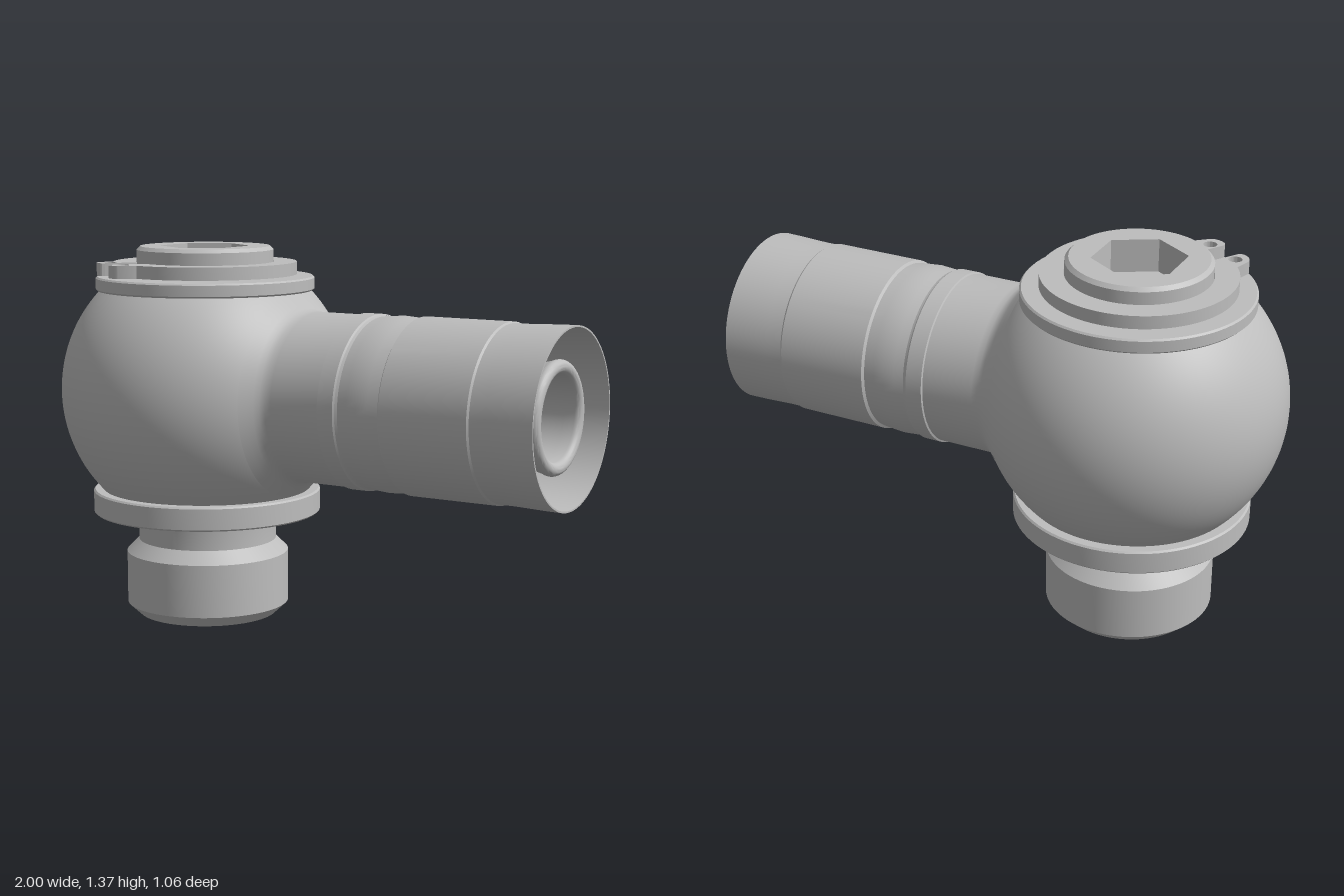
import * as THREE from 'three';
import { toCreasedNormals } from 'three/addons/utils/BufferGeometryUtils.js';

const AXIS_X = -0.47; // vertical bolt axis
const AXIS_Y = 0.84;  // horizontal pipe axis

export function createModel() {
  const group = new THREE.Group();
  const steel = new THREE.MeshStandardMaterial({ color: 0xbdbdbd });
  steel.name = 'grey steel';

  const add = (name, geometry) => {
    const mesh = new THREE.Mesh(geometry, steel);
    mesh.name = name;
    group.add(mesh);
    return mesh;
  };
  // Revolved profile of [radius, height] pairs with crisp machined edges
  const turn = (profile, crease = 0.35) => toCreasedNormals(
    new THREE.LatheGeometry(profile.map(([r, h]) => new THREE.Vector2(r, h)), 80), crease);
  const upright = (name, profile) => { add(name, turn(profile)).position.x = AXIS_X; };
  // Arc points for rounded profiles
  const arc = (cr, ch, rad, from, to, n) => Array.from({ length: n + 1 }, (_, i) => {
    const a = from + (to - from) * i / n;
    return [cr + rad * Math.cos(a), ch + rad * Math.sin(a)];
  });
  const ring = (r, inner, y0, y1) => {
    const b = 0.006;
    return [[inner, y0], [r - b, y0], [r, y0 + b], [r, y1 - b], [r - b, y1], [inner, y1]];
  };

  // Ball housing, cut flat above and below
  const cut = Math.asin(0.368 / 0.53);
  upright('ballHousing', arc(0, AXIS_Y, 0.53, -cut, cut, 40));

  // Sealing washers
  upright('lowerWasher', ring(0.42, 0.2, 0.385, 0.472));
  upright('upperWasher', ring(0.40, 0.2, 1.205, 1.256));

  // Hollow bolt: bore, bottom chamfer, thread, relief neck
  upright('boltThread', [
    [0, 0.75], [0.22, 0.7], [0.22, 0.02], [0.235, 0], [0.255, 0], [0.30, 0.042],
    [0.30, 0.235], [0.255, 0.28], [0.255, 0.35],
    ...arc(0.29, 0.35, 0.035, Math.PI, Math.PI / 2, 6),
  ]);
  upright('boltHead', [[0.25, 1.2], [0.25, 1.352], [0.237, 1.365]]);

  // Top of the head with a hexagonal socket
  const cap = new THREE.Shape().absarc(0, 0, 0.237, 0, Math.PI * 2, false);
  const hexPoints = Array.from({ length: 6 }, (_, i) => {
    const a = (i * 60 + 31.5) * Math.PI / 180;
    return new THREE.Vector2(0.164 * Math.cos(a), 0.164 * Math.sin(a));
  });
  cap.holes.push(new THREE.Path(hexPoints));
  const capGeometry = new THREE.ExtrudeGeometry(cap, { depth: 0.12, bevelEnabled: false, curveSegments: 40 });
  capGeometry.rotateX(Math.PI / 2);
  add('hexSocket', capGeometry).position.set(AXIS_X, 1.365, 0);
  const floor = new THREE.CircleGeometry(0.2, 32).rotateX(-Math.PI / 2);
  add('socketFloor', floor).position.set(AXIS_X, 1.246, 0);

  // Retaining ring with a gap and two drilled lugs
  const clip = new THREE.Shape();
  const outer = Math.atan2(0.128, 0.31);
  const inner = Math.asin(0.042 / 0.252);
  clip.moveTo(0.249, 0.042);
  clip.lineTo(0.37, 0.042);
  clip.quadraticCurveTo(0.39, 0.045, 0.39, 0.065);
  clip.quadraticCurveTo(0.39, 0.1, 0.365, 0.112);
  clip.lineTo(0.31, 0.128);
  clip.absarc(0, 0, 0.335, outer, Math.PI * 2 - outer, false);
  clip.lineTo(0.365, -0.112);
  clip.quadraticCurveTo(0.39, -0.1, 0.39, -0.065);
  clip.quadraticCurveTo(0.39, -0.045, 0.37, -0.042);
  clip.lineTo(0.249, -0.042);
  clip.absarc(0, 0, 0.252, -inner, inner - Math.PI * 2, true);
  for (const side of [-1, 1]) {
    clip.holes.push(new THREE.Path().absarc(0.34, side * 0.073, 0.024, 0, Math.PI * 2, true));
  }
  const clipGeometry = new THREE.ExtrudeGeometry(clip, { depth: 0.046, bevelEnabled: false, curveSegments: 48 });
  clipGeometry.rotateZ(124 * Math.PI / 180).rotateX(Math.PI / 2);
  add('retainingRing', toCreasedNormals(clipGeometry, 0.35)).position.set(AXIS_X, 1.308, 0);

  // Side pipe parts are revolved about the horizontal axis
  const sideways = (name, profile, crease) => {
    add(name, turn(profile, crease).rotateZ(-Math.PI / 2)).position.y = AXIS_Y;
  };
  sideways('pipeStub', [
    [0.365, -0.085], [0.345, -0.064], [0.328, -0.046], [0.315, -0.03], [0.307, -0.012], [0.305, 0.01],
    [0.305, 0.197], [0.311, 0.2], [0.311, 0.26], [0.307, 0.266],
  ], 0.5);
  sideways('hoseSleeve', [
    [0.307, 0.264], [0.303, 0.275], [0.306, 0.31], [0.309, 0.35], [0.306, 0.39], [0.302, 0.43],
    [0.311, 0.437], [0.311, 0.765], [0.306, 0.772], [0.306, 0.83], [0.310, 0.94], [0.311, 1.0],
    [0.305, 1.0], [0.300, 0.9], [0.295, 0.78], [0.28, 0.77], [0.28, 0.6], [0.17, 0.6],
  ]);
  // Inner nipple with a rounded lip and stepped bore
  sideways('innerNipple', [
    [0.17, 0.6], [0.17, 0.86], [0.182, 0.89],
    ...arc(0.172, 0.94, 0.0235, -0.6, Math.PI, 14),
    [0.148, 0.9], [0.148, 0.2], [0.085, 0.2], [0.07, 0.18], [0.07, 0.1], [0, 0.1],
  ], 0.5);

  return group;
}
